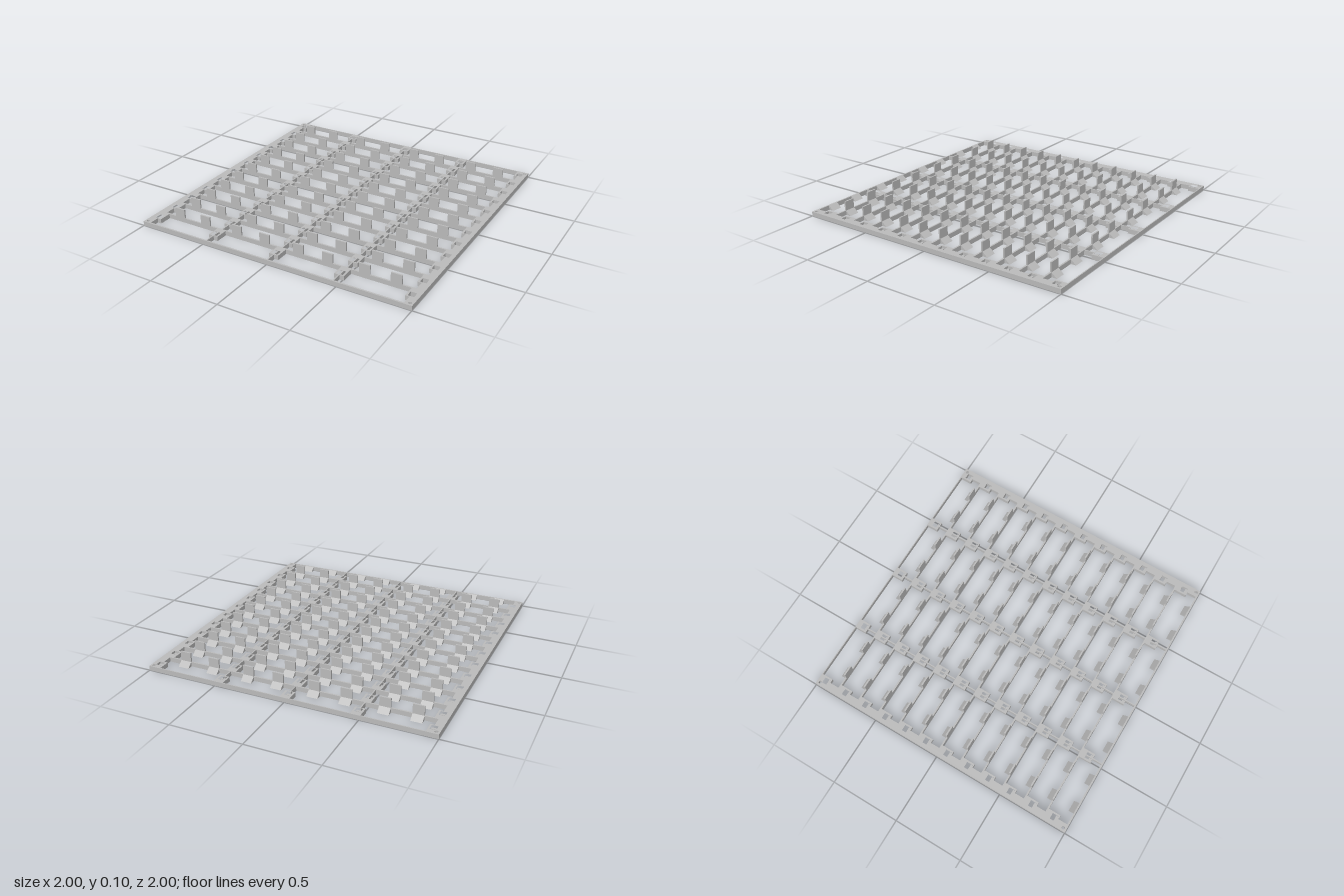
import * as THREE from 'three';

const H = 0.032;          // frame height
const TOP = 0.097;        // top of the upright tabs
const ROWS = 12;
const PITCH = 2 / ROWS;
const RAIL = 0.011;       // cross rail thickness
const PAD = 0.088;        // pad length along z

export function createModel() {
  const model = new THREE.Group();
  const grey = new THREE.MeshStandardMaterial({ color: 0xbcbcbc });
  grey.name = 'light grey plastic';

  const add = (name, geometry, x = 0, y = 0, z = 0) => {
    const mesh = new THREE.Mesh(geometry, grey);
    mesh.name = name;
    mesh.position.set(x, y, z);
    model.add(mesh);
    return mesh;
  };
  // box given by its limits
  const block = (name, x0, x1, y0, y1, z0, z1) =>
    add(name, new THREE.BoxGeometry(x1 - x0, y1 - y0, z1 - z0),
      (x0 + x1) / 2, (y0 + y1) / 2, (z0 + z1) / 2);
  // plan outline in x and z, raised to the frame height
  const points = list => list.map(([x, z]) => new THREE.Vector2(x, -z));
  const rect = (x0, x1, z0, z1) => points([[x0, z0], [x1, z0], [x1, z1], [x0, z1]]);
  const plan = (outline, holes) => {
    const shape = new THREE.Shape(outline);
    shape.holes = holes;
    return new THREE.ExtrudeGeometry(shape, { depth: H, bevelEnabled: false, curveSegments: 8 })
      .rotateX(-Math.PI / 2);
  };
  const slot = (x, z) => new THREE.Path(rect(x - 0.021, x + 0.021, z + 0.036, z + 0.08));
  const ledge = (x, z) => block('slotLedge', x - 0.021, x + 0.021, 0, 0.016, z + 0.064, z + 0.08);
  const rowStart = i => -1 + i * PITCH;

  // side rails with a widened, slotted pad in every row and screw holes at the corners
  for (const s of [-1, 1]) {
    const outline = [[s, 1], [s, -1]];
    const holes = [];
    for (let i = 0; i < ROWS; i++) {
      const z = rowStart(i);
      outline.push([s * 0.917, z], [s * 0.917, z + PAD], [s * 0.945, z + PAD], [s * 0.945, z + PITCH]);
      holes.push(slot(s * 0.95, z));
      ledge(s * 0.95, z);
    }
    for (const e of [-1, 1]) {
      const hole = new THREE.Path();
      hole.absarc(s * 0.977, e * 0.976, 0.011, 0, Math.PI * 2, false);
      holes.push(hole);
    }
    add('sideRail', plan(points(outline), holes));
  }

  // thin ribs running front to back, with a slotted pad in every row
  for (const x of [-0.475, 0, 0.475]) {
    block('longRib', x - 0.004, x + 0.004, 0, H, -1 + PAD, 1);
    for (let i = 0; i < ROWS; i++) {
      const z = rowStart(i);
      add('slottedPad', plan(rect(x - 0.034, x + 0.034, z, z + PAD), [slot(x, z)]));
      ledge(x, z);
      if (i > 0) block('ribWeb', x - 0.004, x + 0.004, 0, H, z - 0.08, z);
    }
  }

  // cross rails with upright tabs and a sloping gusset behind each tab
  block('backRail', -0.95, 0.95, 0, H, -1, -0.993);
  const gusset = new THREE.ExtrudeGeometry(
    new THREE.Shape([new THREE.Vector2(0, 0), new THREE.Vector2(0.038, 0), new THREE.Vector2(0, H)]),
    { depth: 0.076, bevelEnabled: false }
  ).rotateY(Math.PI / 2).translate(-0.038, 0, 0);
  const tabs = [-0.82, -0.606, -0.35, -0.131, 0.126, 0.34, 0.6, 0.816];
  for (let k = 1; k <= ROWS; k++) {
    const z = rowStart(k);
    block('crossRail', -0.95, 0.95, 0, H, z - RAIL, z);
    for (const x of tabs) {
      add('tabGusset', gusset, x, 0, z - RAIL);
      if (k < ROWS) block('uprightTab', x - 0.038, x + 0.038, H, TOP, z - RAIL, z);
    }
  }
  return model;
}
